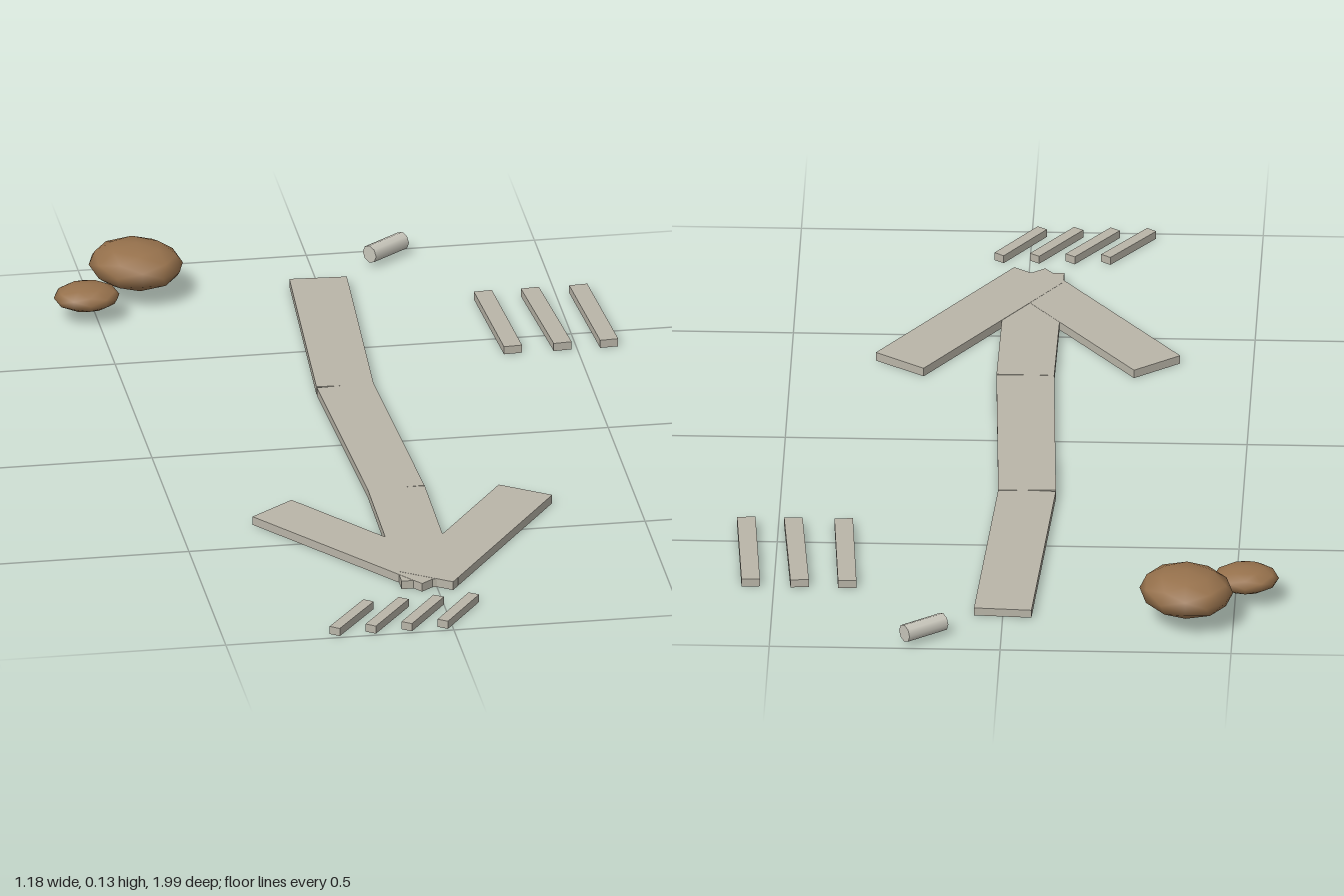
import * as THREE from 'three';
import { mergeVertices } from 'three/addons/utils/BufferGeometryUtils.js';

export function createModel() {
  const model = new THREE.Group();
  const mat = (name, color) => {
    const m = new THREE.MeshStandardMaterial({ color });
    m.name = name;
    return m;
  };
  const chalk = mat('chalkGrey', 0xb9b5a8);
  const paleChalk = mat('paleChalk', 0xc9c7bc);
  const stone = mat('brownStone', 0x96714c);

  // Thin flat stroke on the ground between two (x, z) points
  const stroke = (name, x1, z1, x2, z2, width, height = 0.018) => {
    const dx = x2 - x1, dz = z2 - z1;
    const mesh = new THREE.Mesh(new THREE.BoxGeometry(width, height, Math.hypot(dx, dz)), chalk);
    mesh.position.set((x1 + x2) / 2, height / 2, (z1 + z2) / 2);
    mesh.rotation.y = Math.atan2(dx, dz);
    mesh.name = name;
    model.add(mesh);
  };

  // Arrow: slightly bent shaft and two barbs
  const path = [[0, -0.84], [-0.033, -0.27], [-0.01, 0.28], [-0.015, 0.77]];
  for (let i = 0; i < 3; i++) {
    stroke('arrowShaft' + (i + 1), ...path[i], ...path[i + 1], 0.125, 0.018 + i * 0.0004);
  }
  stroke('arrowBarbRight', -0.293, 0.346, 0.013, 0.753, 0.122, 0.0192);
  stroke('arrowBarbLeft', 0.264, 0.338, -0.021, 0.756, 0.128, 0.0196);

  // Three long tally marks
  [[0.341, 0.359], [0.444, 0.468], [0.55, 0.57]].forEach(([a, b], i) =>
    stroke('longTally' + (i + 1), a, -0.715, b, -0.418, 0.04));

  // Four short slanted tally marks
  for (let i = 0; i < 4; i++) {
    stroke('shortTally' + (i + 1), -0.164 + i * 0.077, 0.856, -0.259 + i * 0.079, 0.985, 0.025);
  }

  // Piece of chalk lying down
  const stick = new THREE.Mesh(new THREE.CylinderGeometry(0.02, 0.02, 0.102, 8), paleChalk);
  stick.rotation.set(0, Math.atan2(11.5, 15.5), Math.PI / 2);
  stick.position.set(0.167, 0.028, -0.953);
  stick.name = 'chalkStick';
  model.add(stick);

  // Two flattened pebbles
  const pebble = (name, x, y, z, rx, ry, rz, turn) => {
    let geo = new THREE.IcosahedronGeometry(1, 1);
    geo.deleteAttribute('normal');
    geo.deleteAttribute('uv');
    geo = mergeVertices(geo, 1e-3);
    geo.scale(rx, ry, rz);
    geo.computeVertexNormals();
    const mesh = new THREE.Mesh(geo, stone);
    mesh.position.set(x, y, z);
    mesh.rotation.y = turn;
    mesh.name = name;
    model.add(mesh);
  };
  pebble('largePebble', -0.398, 0.076, -0.85, 0.105, 0.05, 0.094, -0.6);
  pebble('smallPebble', -0.523, 0.055, -0.744, 0.072, 0.029, 0.059, 0);

  return model;
}
